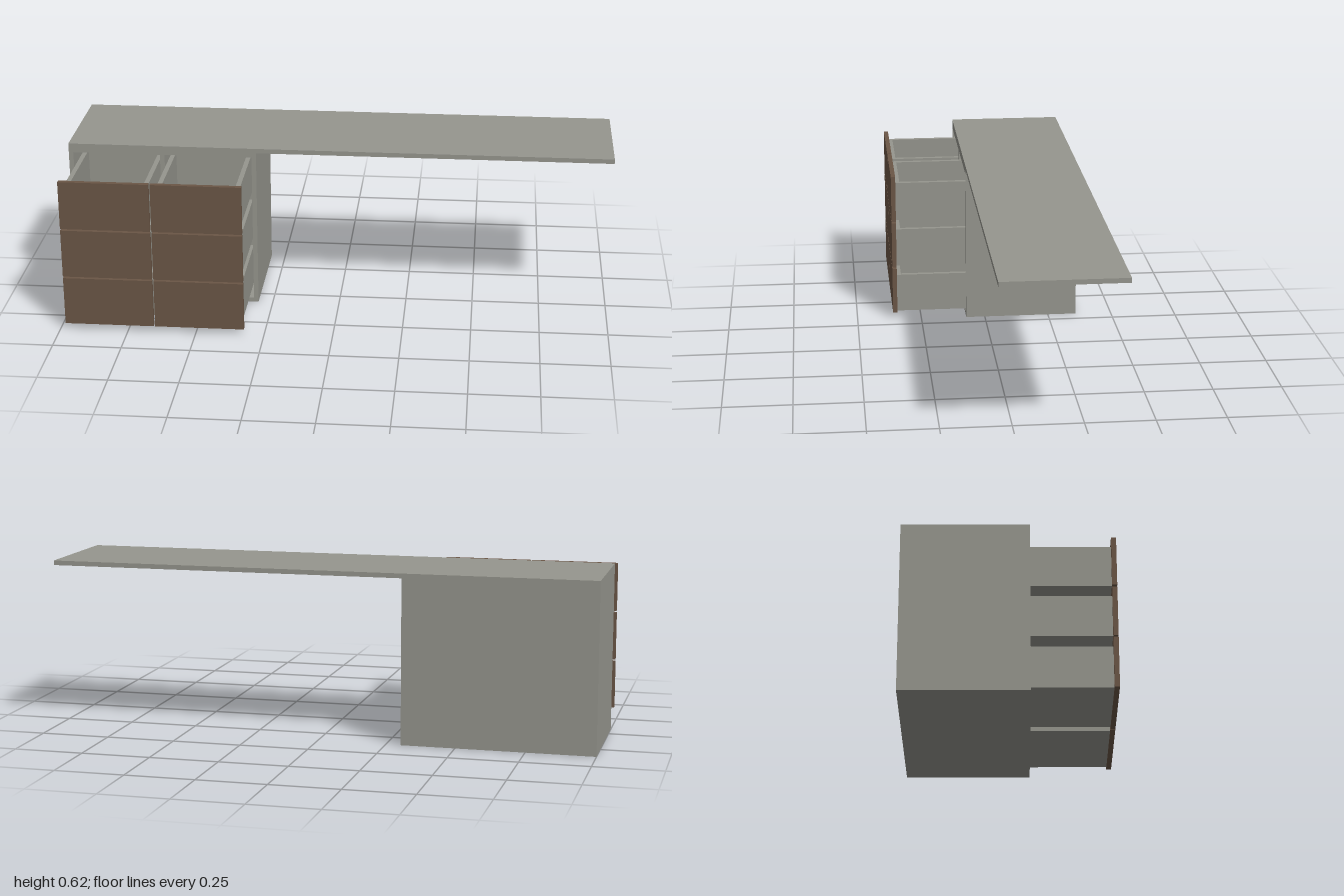
import * as THREE from 'three';

export function createModel() {
  const model = new THREE.Group();
  model.name = 'deskWithDrawers';
  const grey = new THREE.MeshStandardMaterial({ color: 0x96968e });
  grey.name = 'greyBoard';
  const brown = new THREE.MeshStandardMaterial({ color: 0x6b5646 });
  brown.name = 'brownWood';

  // Adds a board spanning the given minimum and maximum on each axis
  function board(parent, name, material, [x0, x1], [y0, y1], [z0, z1]) {
    const mesh = new THREE.Mesh(new THREE.BoxGeometry(x1 - x0, y1 - y0, z1 - z0), material);
    mesh.position.set((x0 + x1) / 2, (y0 + y1) / 2, (z0 + z1) / 2);
    mesh.name = name;
    parent.add(mesh);
  }

  const T = 0.017; // board thickness
  const BACK = -0.36, FRONT = 0.073, LEFT = -1, RIGHT = -0.304, H = 0.6;

  // Long worktop
  board(model, 'worktop', grey, [-1, 1], [H, H + T], [BACK, FRONT]);

  // Cabinet carcass, open at the front
  const cabinet = new THREE.Group();
  cabinet.name = 'cabinet';
  model.add(cabinet);
  const depth = [BACK, FRONT], inner = [LEFT + T, RIGHT - T];
  board(cabinet, 'outerSide', grey, [LEFT, LEFT + T], [0, H], depth);
  board(cabinet, 'innerSide', grey, [RIGHT - T, RIGHT], [0, H], depth);
  board(cabinet, 'cabinetBase', grey, inner, [0, T], depth);
  board(cabinet, 'cabinetTop', grey, inner, [H - T, H], depth);
  board(cabinet, 'cabinetBack', grey, inner, [T, H - T], [BACK, BACK + T]);
  board(cabinet, 'divider', grey, [-0.66, -0.643], [T, H - T], [BACK + T, FRONT]);

  // Pulled-out drawers: two columns of three
  const z0 = -0.06, z1 = 0.343;
  function drawer(x, y) {
    const g = new THREE.Group();
    g.name = 'drawer';
    const y0 = y + 0.003, y1 = y + 0.152;
    const x0 = x - 0.15, x1 = x + 0.15;
    const across = [x0 + T, x1 - T];
    board(g, 'drawerFront', brown, [x - 0.163, x + 0.163], [y, y + 0.181], [z1, 0.36]);
    for (const [a, b] of [[x0, x0 + T], [x1 - T, x1]])
      board(g, 'drawerSide', grey, [a, b], [y0, y1], [z0, z1]);
    board(g, 'drawerBack', grey, across, [y0, y1], [z0, z0 + T]);
    board(g, 'drawerInnerFront', grey, across, [y0, y1], [z1 - T, z1]);
    board(g, 'drawerFloor', grey, across, [y0, y0 + T], [z0 + T, z1 - T]);
    model.add(g);
  }
  for (const x of [-0.818, -0.486])
    for (let row = 0; row < 3; row++) drawer(x, 0.022 + row * 0.1875);

  return model;
}
